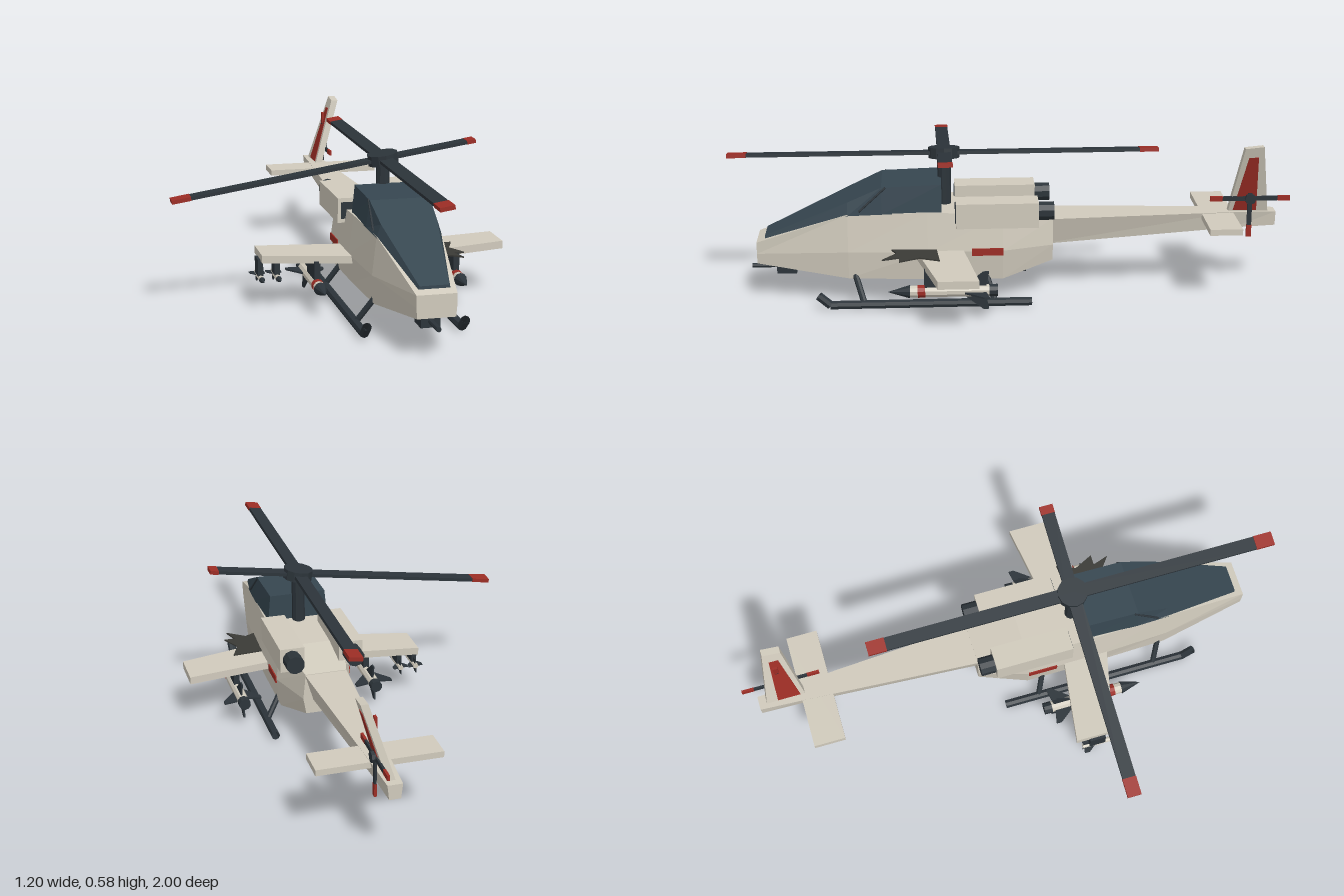
import * as THREE from 'three';

const mat = (color) => new THREE.MeshStandardMaterial({ color, flatShading: true, side: THREE.DoubleSide });

export function createModel() {
  const root = new THREE.Group();
  root.name = 'helicopter';
  const craft = new THREE.Group();
  craft.name = 'airframe';
  craft.position.x = 0.155;
  root.add(craft);

  const paint = mat(0xd0cabc), dark = mat(0x2c343a), glass = mat(0x364650), red = mat(0x9c2d25), soot = mat(0x3a3a36);

  const add = (name, geo, material, parent = craft, pos = [0, 0, 0]) => {
    const m = new THREE.Mesh(geo, material);
    m.name = name;
    m.position.set(...pos);
    parent.add(m);
    return m;
  };
  const box = (name, size, pos, material, parent) => add(name, new THREE.BoxGeometry(...size), material, parent, pos);
  // cylinder or cone lying along z, r1 at the front
  const rod = (name, r1, r2, len, pos, material, parent, sides = 10) =>
    add(name, new THREE.CylinderGeometry(r1, r2, len, sides).rotateX(Math.PI / 2), material, parent, pos);
  const bar = (name, a, b, r, material) => {
    const A = new THREE.Vector3(...a), B = new THREE.Vector3(...b);
    return add(name, new THREE.TubeGeometry(new THREE.LineCurve3(A, B), 1, r, 8), material);
  };

  // skin over cross-sections running front to back, corners counterclockwise from the front
  const loft = (sections) => {
    const out = [], n = sections[0].length, last = sections.length - 1;
    const tri = (...p) => p.forEach((v) => out.push(...v));
    for (let s = 0; s < last; s++) {
      const a = sections[s], b = sections[s + 1];
      for (let i = 0; i < n; i++) {
        const j = (i + 1) % n;
        tri(a[i], b[i], b[j]);
        tri(a[i], b[j], a[j]);
      }
    }
    for (let i = 1; i < n - 1; i++) {
      tri(sections[0][0], sections[0][i], sections[0][i + 1]);
      tri(sections[last][0], sections[last][i + 1], sections[last][i]);
    }
    const g = new THREE.BufferGeometry();
    g.setAttribute('position', new THREE.Float32BufferAttribute(out, 3));
    g.computeVertexNormals();
    return g;
  };
  // symmetric section: list of [halfWidth, y] from bottom to top
  const ring = (z, ...half) => [
    ...half.map(([x, y]) => [x, y, z]),
    ...half.slice().reverse().map(([x, y]) => [-x, y, z]),
  ];
  // flat plate from x,z corners
  const plate = (pts, thick) =>
    new THREE.ExtrudeGeometry(new THREE.Shape(pts.map((p) => new THREE.Vector2(...p))), { depth: thick, bevelEnabled: false })
      .rotateX(Math.PI / 2);

  // fuselage, tail boom and canopy
  add('fuselage', loft([
    ring(0.905, [0.065, 0.143], [0.068, 0.18], [0.068, 0.222]),
    ring(0.58, [0.12, 0.1], [0.128, 0.2], [0.113, 0.335]),
    ring(0.3, [0.125, 0.093], [0.14, 0.2], [0.122, 0.34]),
    ring(0.035, [0.125, 0.09], [0.14, 0.2], [0.122, 0.33]),
    ring(-0.145, [0.075, 0.14], [0.085, 0.2], [0.075, 0.295]),
  ]), paint);
  add('tailBoom', loft([
    ring(-0.1, [0.05, 0.19], [0.08, 0.293]),
    ring(-0.8, [0.022, 0.23], [0.035, 0.293]),
    ring(-0.955, [0.02, 0.237], [0.026, 0.29]),
  ]), paint);
  add('canopy', loft([
    ring(0.875, [0.056, 0.225], [0.05, 0.243]),
    ring(0.58, [0.114, 0.33], [0.098, 0.375]),
    ring(0.46, [0.119, 0.335], [0.106, 0.43]),
    ring(0.25, [0.115, 0.335], [0.105, 0.437]),
  ]), glass);
  // canopy frame
  for (const s of [-1, 1]) bar('canopyFrame', [s * 0.114, 0.345, 0.54], [s * 0.106, 0.43, 0.445], 0.004, dark);
  box('stabiliser', [0.436, 0.022, 0.115], [0, 0.28, -0.742], paint);

  // leaning tail fin with red rudder panel
  const fin = (name, pts, depth, material) => {
    const g = new THREE.ExtrudeGeometry(new THREE.Shape(pts.map((p) => new THREE.Vector2(...p))), { depth, bevelEnabled: false })
      .rotateY(-Math.PI / 2).translate(depth / 2, 0, 0);
    const p = g.attributes.position;
    for (let i = 0; i < p.count; i++) p.setX(i, p.getX(i) + (p.getY(i) - 0.28) * 0.3);
    g.computeVertexNormals();
    return add(name, g, material);
  };
  fin('tailFin', [[-0.78, 0.27], [-0.93, 0.27], [-0.888, 0.552], [-0.822, 0.545]], 0.026, paint);
  fin('rudderPanel', [[-0.8, 0.295], [-0.885, 0.295], [-0.872, 0.51], [-0.838, 0.51]], 0.03, red);

  // tail rotor
  const tailRotor = new THREE.Group();
  tailRotor.name = 'tailRotor';
  tailRotor.position.set(0.037, 0.345, -0.857);
  craft.add(tailRotor);
  add('tailHub', new THREE.CylinderGeometry(0.02, 0.02, 0.03, 8).rotateZ(Math.PI / 2), dark, tailRotor);
  for (let i = 0; i < 4; i++) {
    const arm = new THREE.Group();
    arm.name = 'tailBlade';
    arm.rotation.x = i * Math.PI / 2;
    tailRotor.add(arm);
    box('bladeRoot', [0.008, 0.1, 0.016], [0, 0.05, 0], dark, arm);
    box('bladeTip', [0.009, 0.045, 0.018], [0, 0.122, 0], red, arm);
  }

  // main rotor, tilted, with one shortened blade
  add('mast', new THREE.CylinderGeometry(0.024, 0.024, 0.19, 10), dark, craft, [0, 0.42, 0.238]);
  const rotor = new THREE.Group();
  rotor.name = 'mainRotor';
  rotor.position.set(0, 0.525, 0.238);
  rotor.rotation.z = 0.151;
  craft.add(rotor);
  add('hub', new THREE.CylinderGeometry(0.055, 0.055, 0.038, 12), dark, rotor);
  [0.763, 0.762, 0.763, 0.339].forEach((len, i) => {
    const arm = new THREE.Group();
    arm.name = 'mainBlade';
    arm.rotation.y = [-Math.PI / 2, 0, Math.PI, Math.PI / 2][i];
    rotor.add(arm);
    const tip = len < 0.5 ? 0.032 : 0.068;
    box('bladeSpan', [0.048, 0.012, len - tip], [0, 0, (len - tip) / 2], dark, arm);
    box('bladeTip', [0.05, 0.014, tip], [0, 0, len - tip / 2], red, arm);
  });

  // parts found on both sides
  for (const s of [-1, 1]) {
    // engines
    box('engine', [0.09, 0.09, 0.29], [s * 0.109, 0.333, 0.055], paint);
    box('intake', [0.066, 0.06, 0.006], [s * 0.109, 0.333, 0.2], dark);
    rod('exhaust', 0.034, 0.034, 0.06, [s * 0.111, 0.337, -0.115], dark);

    // stub wings and side stripes
    add('stubWing', plate([[s * 0.1, 0.35], [s * 0.443, 0.27], [s * 0.443, 0.13], [s * 0.1, 0.18]], 0.028), paint, craft, [0, 0.204, 0]);
    box('sideStripe', [0.012, 0.026, 0.11], [s * 0.137, 0.197, 0.09], red);

    // missiles under the wings
    const missile = new THREE.Group();
    missile.name = 'missile';
    missile.position.set(s * 0.255, 0.098, 0);
    craft.add(missile);
    rod('missileBody', 0.021, 0.021, 0.28, [0, 0, 0.23], paint, missile);
    rod('missileBand', 0.0225, 0.0225, 0.026, [0, 0, 0.325], red, missile);
    rod('missileNose', 0.001, 0.024, 0.075, [0, 0, 0.402], dark, missile);
    rod('missileNozzle', 0.022, 0.022, 0.03, [0, 0, 0.075], dark, missile);
    box('pylon', [0.022, 0.07, 0.12], [0, 0.05, 0.255], dark, missile);
    for (let i = 0; i < 4; i++) {
      const f = add('missileFin', plate([[0, 0.2], [0.07, 0.11], [0.07, 0.09], [0.02, 0.1]], 0.006), dark, missile);
      f.rotation.z = i * Math.PI / 2;
    }

    // landing skids
    const x = s * 0.171;
    bar('skid', [x, 0.02, 0.645], [x, 0.02, -0.065], 0.016, dark);
    bar('skidToe', [x, 0.02, 0.645], [x, 0.055, 0.685], 0.016, dark);
    for (const z of [0.54, 0.08]) bar('skidStrut', [x, 0.02, z - 0.015], [s * 0.108, 0.12, z + 0.02], 0.011, dark);
  }

  // small rockets under the right wing tip
  for (const x of [-0.383, -0.443]) {
    const rocket = new THREE.Group();
    rocket.name = 'rocket';
    rocket.position.set(x, 0.114, 0.21);
    craft.add(rocket);
    box('rocketPylon', [0.019, 0.06, 0.06], [0, 0.037, 0], dark, rocket);
    rod('rocketBody', 0.01, 0.01, 0.11, [0, 0, 0], paint, rocket, 8);
    rod('rocketNose', 0.001, 0.011, 0.035, [0, 0, 0.072], dark, rocket, 8);
    for (let i = 0; i < 4; i++) {
      const f = add('rocketFin', plate([[0, 0], [0.028, -0.035], [0.028, -0.055], [0, -0.05]], 0.003), dark, rocket);
      f.rotation.z = i * Math.PI / 2;
    }
  }

  // torn dark sheet ahead of the left wing
  add('tornPanel', plate([[0.13, 0.27], [0.25, 0.26], [0.22, 0.33], [0.255, 0.4], [0.215, 0.4],
    [0.235, 0.46], [0.17, 0.41], [0.13, 0.43]], 0.005), soot, craft, [0, 0.21, 0]);

  // chin gun
  box('gunTurret', [0.066, 0.046, 0.07], [0, 0.113, 0.805], dark);
  rod('gunBarrel', 0.009, 0.009, 0.11, [0, 0.112, 0.875], dark, craft, 8);

  return root;
}
